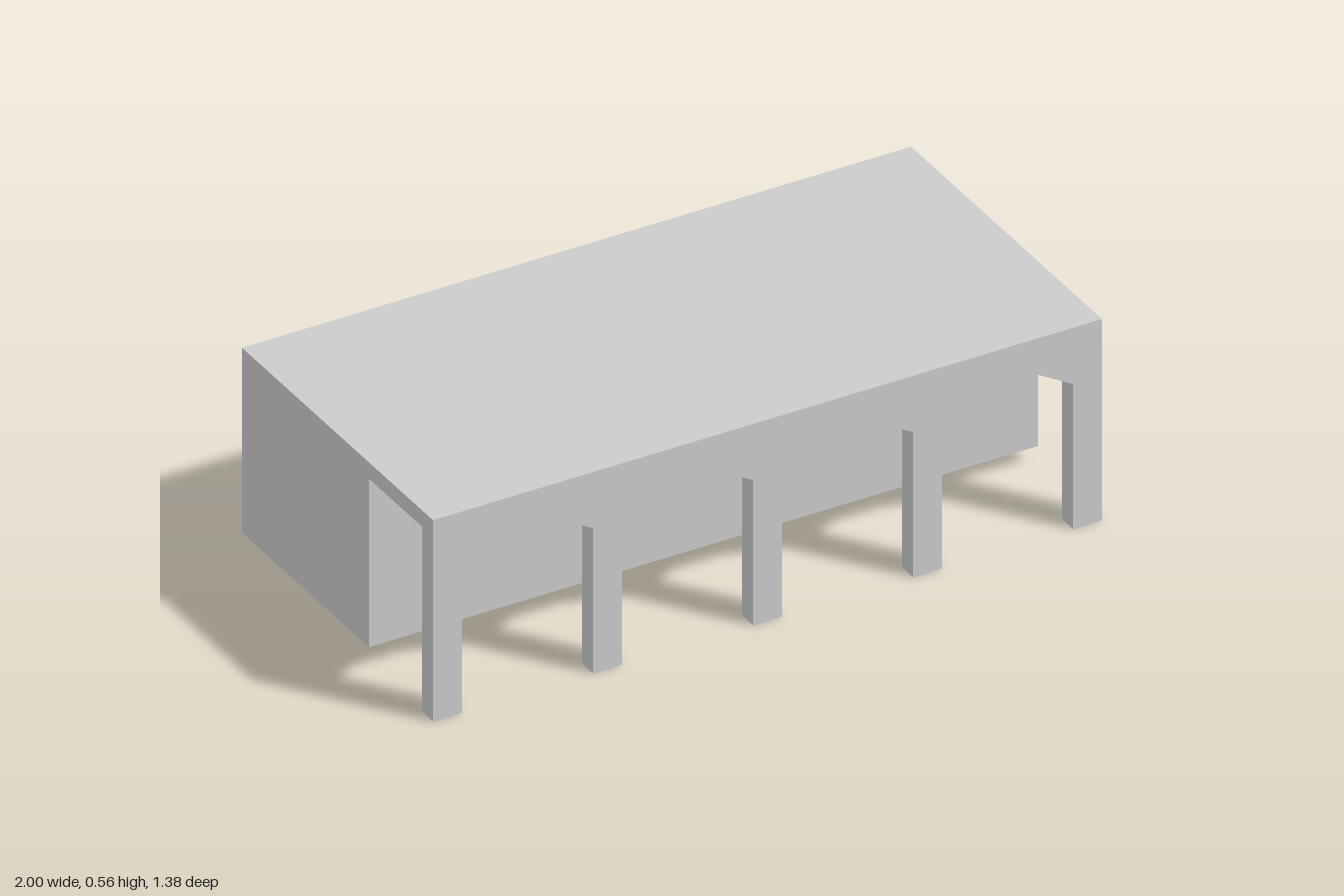
import * as THREE from 'three';

const LENGTH = 1.819, WIDTH = 0.9, TOP = 0.555;
const FLOOR = 0.045;           // underside of the hall
const CEILING = 0.51;          // underside of the porch roof
const PORCH = 0.302;           // porch depth including the arcade
const WALL = 0.052;            // arcade thickness
const PIER = 0.079, BAYS = 4;
const SPRING = 0.4, CROWN = 0.465;

const material = new THREE.MeshStandardMaterial({ color: 0xcccccc, flatShading: true });

function extrude(points, depth) {
  const shape = new THREE.Shape(points.map(([x, y]) => new THREE.Vector2(x, y)));
  return new THREE.ExtrudeGeometry(shape, { depth, bevelEnabled: false });
}

function addMesh(parent, name, geometry) {
  const mesh = new THREE.Mesh(geometry, material);
  mesh.name = name;
  parent.add(mesh);
}

export function createModel() {
  const model = new THREE.Group();
  model.name = 'arcadedHall';
  const building = new THREE.Group();
  building.name = 'building';
  building.rotation.y = Math.atan2(0.514, 1.745);
  model.add(building);

  const front = WIDTH / 2, inner = front - WALL, wall = front - PORCH;

  // Closed hall with its roof carried forward over the porch
  const hall = extrude([
    [-front, FLOOR], [wall, FLOOR], [wall, CEILING],
    [inner, CEILING], [inner, TOP], [-front, TOP],
  ], LENGTH);
  hall.translate(0, 0, -LENGTH / 2);
  hall.rotateY(-Math.PI / 2);
  addMesh(building, 'hallAndPorchRoof', hall);

  // Front arcade: piers joined by three-sided arches
  const pitch = (LENGTH - PIER) / BAYS, span = pitch - PIER;
  const outline = [[-LENGTH / 2, TOP], [-LENGTH / 2, 0]];
  for (let i = 0; i < BAYS; i++) {
    const x = -LENGTH / 2 + PIER + i * pitch;
    outline.push(
      [x, 0], [x, SPRING], [x + span * 0.32, CROWN],
      [x + span * 0.68, CROWN], [x + span, SPRING], [x + span, 0],
    );
  }
  outline.push([LENGTH / 2, 0], [LENGTH / 2, TOP]);
  const arcade = extrude(outline, WALL);
  arcade.translate(0, 0, inner);
  addMesh(building, 'arcade', arcade);

  return model;
}
